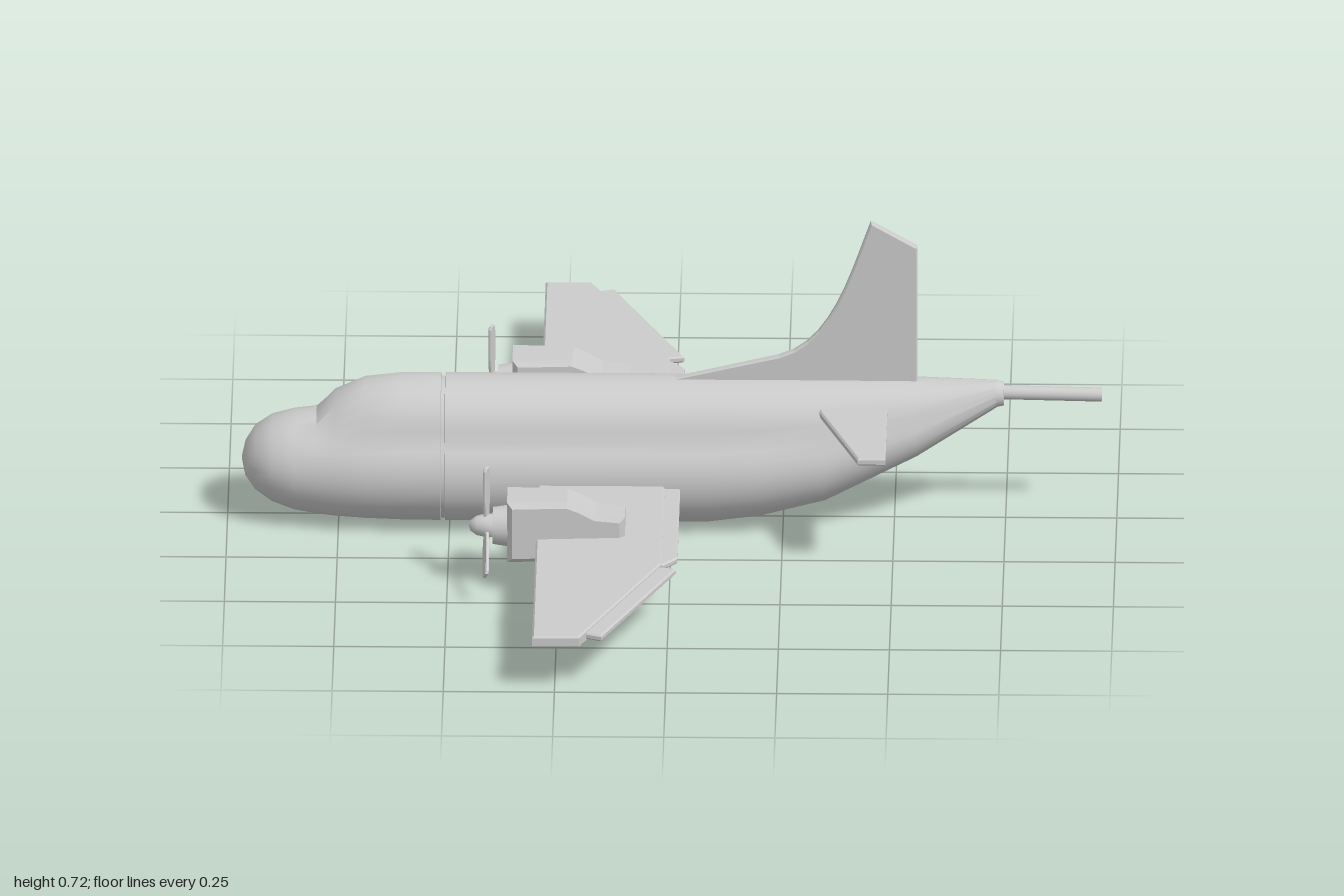
import * as THREE from 'three';
import { toCreasedNormals } from 'three/addons/utils/BufferGeometryUtils.js';

const material = new THREE.MeshStandardMaterial({ color: 0xcccccc });

function part(name, geometry, parent) {
  const mesh = new THREE.Mesh(geometry, material);
  mesh.name = name;
  parent.add(mesh);
  return mesh;
}

const shapeOf = (points) => new THREE.Shape(points.map(([x, y]) => new THREE.Vector2(x, y)));

// Slab of given thickness, centred on its own plane, with a small bevel inside the outline.
function slab(shape, thickness, bevel = 0.004) {
  const g = new THREE.ExtrudeGeometry(shape, {
    depth: thickness - 2 * bevel, bevelEnabled: true, bevelThickness: bevel,
    bevelSize: bevel, bevelOffset: -bevel, bevelSegments: 1, curveSegments: 10,
  });
  return g.translate(0, 0, -(thickness - 2 * bevel) / 2);
}

// Horizontal slab: outline given as [x, z], laid flat at height y.
const flatSlab = (points, thickness, y) =>
  slab(shapeOf(points), thickness).rotateX(Math.PI / 2).translate(0, y, 0);

// Fuselage stations: x, bottom, top and half width of the lower lobe, top and radius of the upper lobe, scale.
const stations = [
  [-0.968, 0.136, 0.144, 0.004, 0.14, 0.001],
  [-0.96, 0.1, 0.178, 0.045, 0.14, 0.001],
  [-0.938, 0.07, 0.212, 0.082, 0.16, 0.01],
  [-0.9, 0.043, 0.237, 0.108, 0.18, 0.02],
  [-0.85, 0.024, 0.25, 0.121, 0.2, 0.03],
  [-0.8, 0.015, 0.256, 0.128, 0.25, 0.055],
  [-0.757, 0.011, 0.262, 0.138, 0.303, 0.085],
  [-0.69, 0.007, 0.272, 0.147, 0.332, 0.108],
  [-0.61, 0.004, 0.28, 0.15, 0.341, 0.115],
  [-0.52, 0.003, 0.28, 0.15, 0.342, 0.115],
  [-0.519, 0.003, 0.28, 0.15, 0.342, 0.115, 0.96],
  [-0.511, 0.003, 0.28, 0.15, 0.342, 0.115, 0.96],
  [-0.51, 0.003, 0.28, 0.15, 0.342, 0.115],
  [0.08, 0.003, 0.28, 0.15, 0.342, 0.115],
  [0.2, 0.019, 0.28, 0.147, 0.342, 0.114],
  [0.345, 0.056, 0.282, 0.13, 0.342, 0.107],
  [0.55, 0.16, 0.3, 0.083, 0.341, 0.075],
  [0.73, 0.276, 0.334, 0.031, 0.338, 0.03],
];

function fuselageGeometry() {
  const sides = 40, positions = [], index = [];
  stations.forEach(([x, bottom, top, width, upperTop, upperR, scale = 1], i) => {
    const centre = (bottom + top) / 2, half = (top - bottom) / 2;
    const offset = upperTop - upperR - centre;
    for (let j = 0; j <= sides; j++) {
      const a = (j / sides) * Math.PI * 2, s = Math.sin(a), c = Math.cos(a);
      let r = 1 / Math.hypot(s / width, c / half);
      const d = upperR ** 2 - (offset * s) ** 2;
      if (d >= 0) r = Math.max(r, offset * c + Math.sqrt(d));
      positions.push(x, centre + r * c * scale, r * s * scale);
      if (i < stations.length - 1 && j < sides) {
        const p = i * (sides + 1) + j, q = p + sides + 1;
        index.push(p, p + 1, q, p + 1, q + 1, q);
      }
    }
  });
  const g = new THREE.BufferGeometry();
  g.setAttribute('position', new THREE.Float32BufferAttribute(positions, 3));
  g.setIndex(index);
  return toCreasedNormals(g, 0.6);
}

// Nacelle: side profile, narrowing towards the back.
function nacelleGeometry() {
  const g = slab(shapeOf([[-0.365, 0.08], [-0.1, 0.08], [-0.1, 0.185], [-0.165, 0.193],
    [-0.2, 0.213], [-0.23, 0.225], [-0.365, 0.225]]), 0.114, 0.012);
  const p = g.attributes.position;
  for (let i = 0; i < p.count; i++) {
    const t = (p.getX(i) + 0.365) / 0.265;
    p.setZ(i, p.getZ(i) * (1 - 0.3 * t));
  }
  g.computeVertexNormals();
  return g;
}

function engine(side) {
  const group = new THREE.Group();
  group.name = 'engine';
  part('nacelle', nacelleGeometry(), group);

  const along = (g, x) => g.rotateZ(Math.PI / 2).translate(x, 0.15, 0);
  part('engineCollar', along(new THREE.CylinderGeometry(0.042, 0.047, 0.035, 20), -0.38), group);
  const spinnerProfile = [[0, 0], [0.026, 0], [0.027, 0.02], [0.022, 0.042], [0.012, 0.056], [0, 0.06]];
  part('spinner', along(new THREE.LatheGeometry(
    spinnerProfile.map(([r, y]) => new THREE.Vector2(r, y)), 20), -0.392), group);

  // Three pitched blades
  for (let i = 0; i < 3; i++) {
    const blade = slab(shapeOf([[-0.008, 0.015], [0.008, 0.015], [0.014, 0.06],
      [0.013, 0.135], [0.008, 0.142], [-0.008, 0.142], [-0.013, 0.135], [-0.014, 0.06]]), 0.008, 0.002);
    blade.rotateY(Math.PI / 2 - 0.35).rotateX((i * Math.PI * 2) / 3).translate(-0.412, 0.15, 0);
    part('propellerBlade', blade, group);
  }
  group.position.z = 0.4 * side;
  return group;
}

export function createModel() {
  const model = new THREE.Group();
  model.name = 'aircraft';

  part('fuselage', fuselageGeometry(), model);

  // Tail collar and boom
  part('tailCollar', new THREE.CylinderGeometry(0.027, 0.031, 0.018, 24)
    .rotateZ(-Math.PI / 2).translate(0.737, 0.307, 0), model);
  part('tailBoom', new THREE.CylinderGeometry(0.016, 0.016, 0.235, 20)
    .rotateZ(-Math.PI / 2 - 0.02).translate(0.849, 0.308, 0), model);

  // Upright fin with a swept leading curve
  const fin = new THREE.Shape();
  fin.moveTo(-0.02, 0.335);
  fin.lineTo(0.24, 0.398);
  fin.bezierCurveTo(0.36, 0.43, 0.40, 0.6, 0.447, 0.727);
  fin.lineTo(0.552, 0.667);
  fin.lineTo(0.552, 0.31);
  fin.lineTo(0.1, 0.31);
  part('fin', slab(fin, 0.02), model);

  for (const side of [1, -1]) {
    const outline = (points) => points.map(([x, z]) => [x, z * side]);
    part('wing', flatSlab(outline([[-0.3, 0.08], [-0.015, 0.08], [-0.015, 0.58],
      [-0.195, 1], [-0.3, 1]]), 0.028, 0.125), model);
    part('innerFlap', flatSlab(outline([[-0.03, 0.1], [0.02, 0.1], [0.02, 0.535],
      [-0.012, 0.575], [-0.03, 0.575]]), 0.016, 0.125), model);
    part('outerFlap', flatSlab(outline([[-0.03, 0.585], [0.018, 0.597], [-0.145, 0.978],
      [-0.2, 0.955]]), 0.016, 0.125), model);
    part('stabiliser', flatSlab(outline([[0.32, 0.03], [0.485, 0.03], [0.485, 0.36],
      [0.422, 0.36], [0.335, 0.1]]), 0.018, 0.292), model);
    model.add(engine(side));
  }
  return model;
}
